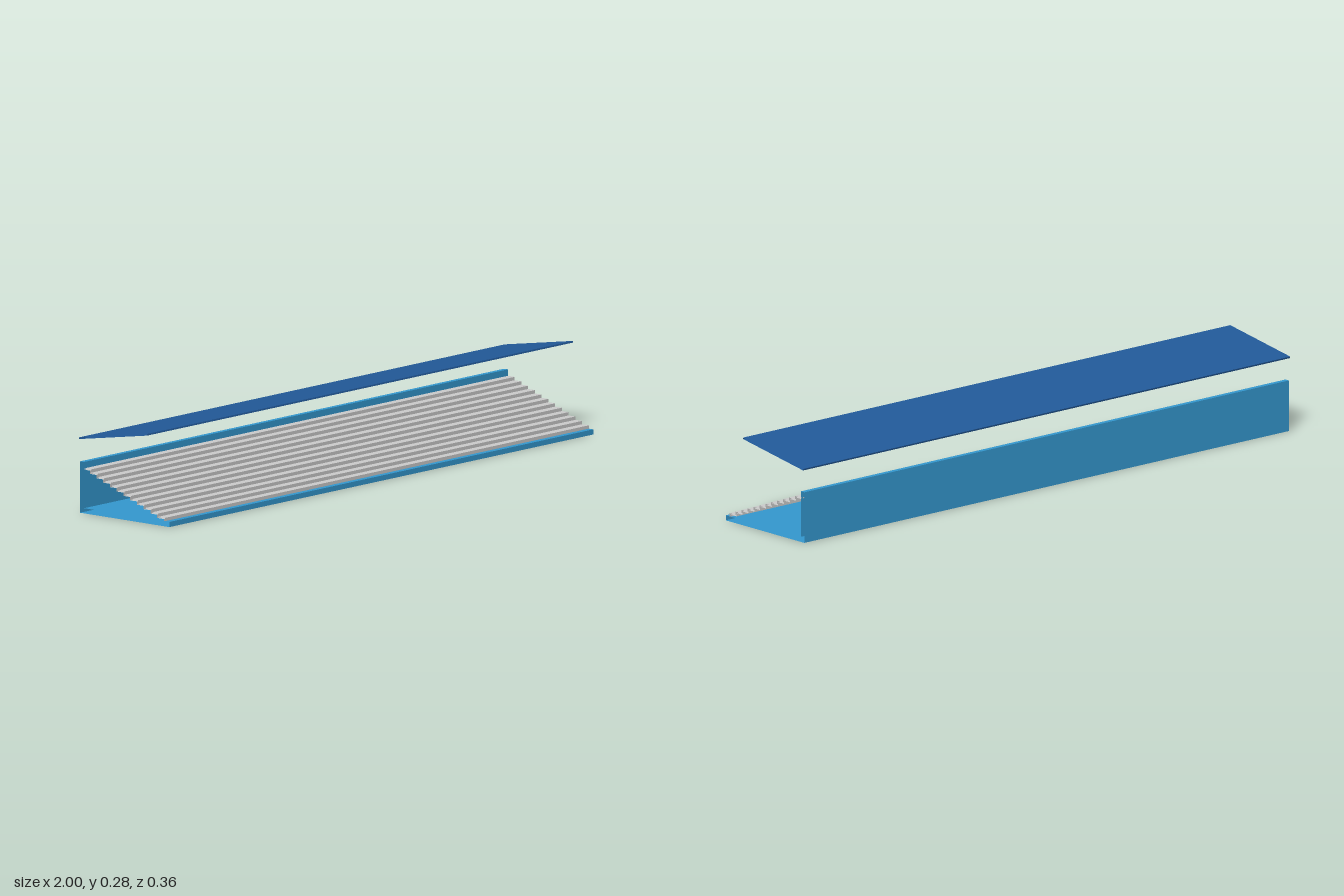
import * as THREE from 'three';

// Sweeps a closed [z, y] outline along x, leaving both ends open.
function openSweep(name, outline, halfLength, color) {
  const pos = [];
  outline.forEach(([z0, y0], i) => {
    const [z1, y1] = outline[(i + 1) % outline.length];
    const a = [-halfLength, y0, z0], b = [halfLength, y0, z0];
    const c = [halfLength, y1, z1], d = [-halfLength, y1, z1];
    pos.push(...a, ...b, ...c, ...a, ...c, ...d);
  });
  const geo = new THREE.BufferGeometry();
  geo.setAttribute('position', new THREE.Float32BufferAttribute(pos, 3));
  geo.computeVertexNormals();
  const mesh = new THREE.Mesh(geo, new THREE.MeshStandardMaterial({ color, side: THREE.DoubleSide }));
  mesh.name = name;
  return mesh;
}

export function createModel() {
  const group = new THREE.Group();
  group.name = 'grandstand';

  const back = -0.18, front = 0.18, wall = 0.016, halfLength = 0.995;

  // L-shaped base: floor slab and rear wall
  group.add(openSweep('floorAndRearWall', [
    [back, 0], [front, 0], [front, wall], [back + wall, wall], [back + wall, 0.16], [back, 0.16],
  ], halfLength, 0x3498cf));

  // Stepped seating, a thin folded sheet climbing to the rear wall
  const steps = 12, z0 = 0.162, y0 = wall, thick = 0.004;
  const tread = (z0 - (back + wall)) / steps, rise = (0.14 - y0) / steps;
  const upper = [], lower = [];
  for (let i = 0; i < steps; i++) {
    const z = z0 - i * tread, y = y0 + i * rise;
    upper.push([z, y], [z, y + rise]);
    lower.push([z - thick, y - (i ? thick : 0)], [z - thick, y + rise - thick]);
  }
  upper.push([back + wall, 0.14]);
  lower.push([back + wall, 0.14 - thick]);
  group.add(openSweep('seatingSteps', [...upper, ...lower.reverse()], halfLength, 0xcccccc));

  // Floating canopy, rising toward the front
  group.add(openSweep('canopy', [
    [back, 0.23], [0.095, 0.275], [0.094, 0.28], [back - 0.001, 0.235],
  ], 1, 0x225a9a));

  return group;
}
